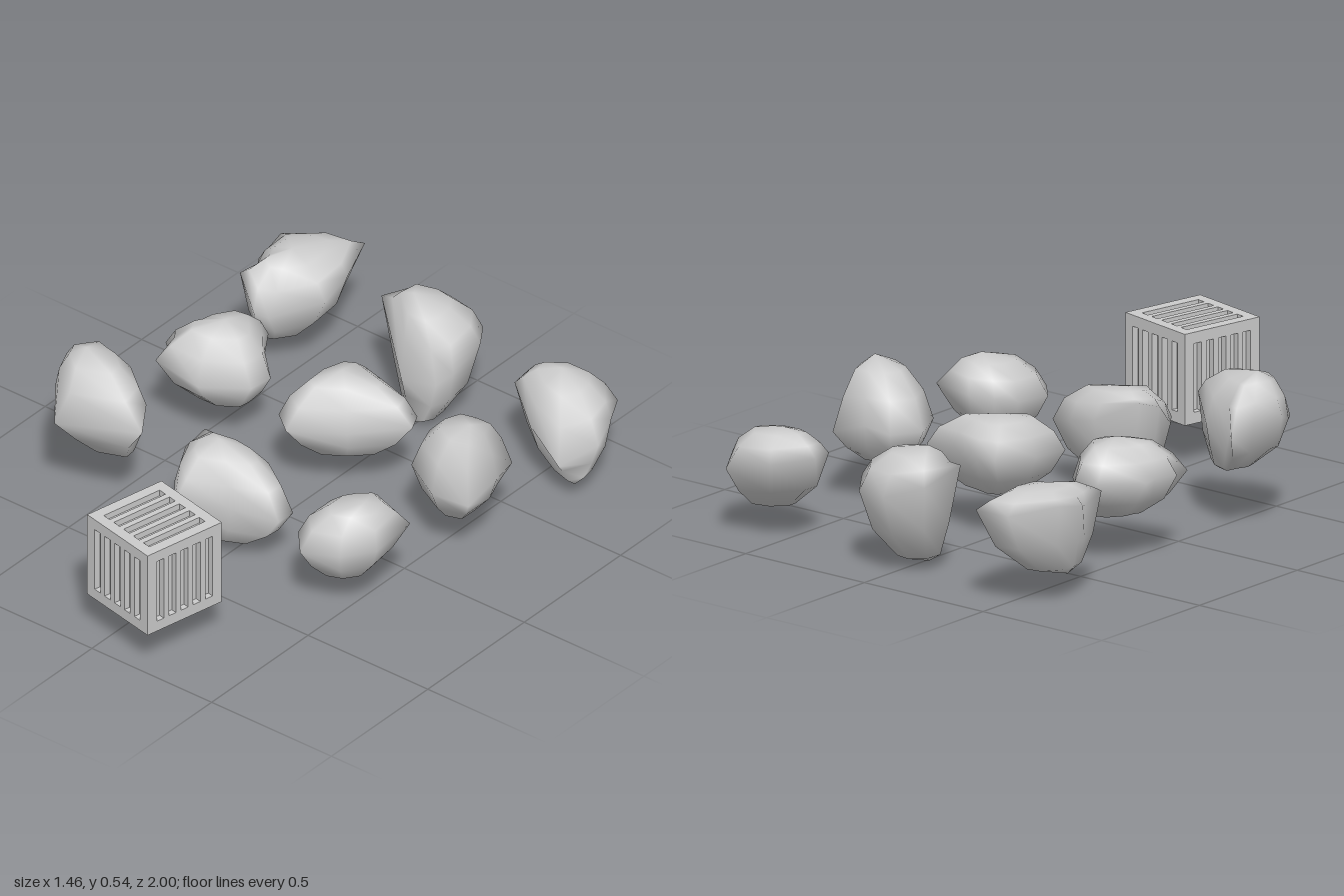
import * as THREE from 'three';
import { mergeVertices } from 'three/addons/utils/BufferGeometryUtils.js';

const grey = new THREE.MeshStandardMaterial({ color: 0xcccccc });

// Rock: a rim of [x, z, y] points (clockwise from above), rounded up to a top
// and down to a bottom apex [x, y, z]. Rings off the rim follow a softened outline.
function rock(rim, top, bottom) {
  const rings = [[0.48, -0.87], [0.86, -0.5], [1, 0], [0.9, 0.48], [0.57, 0.84]];
  const n = rim.length, pos = [], index = [];
  const soft = rim.map((p, i) => p.map((v, c) =>
    0.7 * v + 0.15 * (rim[(i + 1) % n][c] + rim[(i + n - 1) % n][c])));
  for (const [spread, rise] of rings) {
    const apex = rise < 0 ? bottom : top;
    for (const [x, z, y] of rise === 0 ? rim : soft) {
      pos.push(
        THREE.MathUtils.lerp(apex[0], x, spread),
        THREE.MathUtils.lerp(y, apex[1], Math.abs(rise)),
        THREE.MathUtils.lerp(apex[2], z, spread));
    }
  }
  const low = pos.length / 3, high = low + 1, last = low - n;
  pos.push(...bottom, ...top);
  for (let i = 0; i < n; i++) {
    const j = (i + 1) % n;
    index.push(low, i, j, last + i, high, last + j);
    for (let k = 0; k < last; k += n) index.push(k + i, k + n + i, k + n + j, k + i, k + n + j, k + j);
  }
  const g = new THREE.BufferGeometry();
  g.setAttribute('position', new THREE.Float32BufferAttribute(pos, 3));
  g.setIndex(index);
  const welded = mergeVertices(g, 1e-5);
  welded.computeVertexNormals();
  return new THREE.Mesh(welded, grey);
}

const ROCKS = {
  rockBackRight: [
    [[-0.58, -0.97, 0.33], [-0.47, -1.0, 0.34], [-0.43, -0.86, 0.3], [-0.41, -0.72, 0.28], [-0.55, -0.6, 0.22],
      [-0.58, -0.56, 0.25], [-0.67, -0.6, 0.35], [-0.65, -0.66, 0.31], [-0.69, -0.72, 0.33], [-0.7, -0.85, 0.36]],
    [-0.58, 0.4, -0.76], [-0.61, 0.08, -0.7]],
  rockBackMiddle: [
    [[-0.17, -0.9, 0.33], [-0.03, -0.94, 0.28], [0.08, -0.93, 0.28], [0.15, -0.83, 0.3], [0.14, -0.7, 0.24],
      [0.1, -0.66, 0.2], [-0.02, -0.63, 0.19], [-0.2, -0.75, 0.38]],
    [-0.08, 0.43, -0.77], [-0.01, 0, -0.68]],
  rockBackLeft: [
    [[0.37, -0.8, 0.3], [0.48, -0.9, 0.28], [0.65, -0.92, 0.24], [0.72, -0.8, 0.26], [0.73, -0.72, 0.2],
      [0.66, -0.6, 0.15], [0.5, -0.65, 0.22], [0.38, -0.72, 0.3]],
    [0.52, 0.38, -0.79], [0.68, 0.06, -0.66]],
  rockMiddleRight: [
    [[-0.52, -0.44, 0.3], [-0.43, -0.45, 0.29], [-0.38, -0.37, 0.28], [-0.3, -0.3, 0.25], [-0.31, -0.21, 0.25],
      [-0.45, -0.11, 0.25], [-0.62, -0.1, 0.29], [-0.6, -0.16, 0.29], [-0.65, -0.19, 0.3], [-0.6, -0.24, 0.29],
      [-0.61, -0.3, 0.29]],
    [-0.47, 0.42, -0.28], [-0.41, 0.13, -0.24]],
  rockMiddle: [
    [[-0.08, -0.43, 0.29], [-0.02, -0.45, 0.3], [0.1, -0.41, 0.3], [0.24, -0.39, 0.28], [0.26, -0.34, 0.27],
      [0.1, -0.2, 0.25], [-0.06, -0.08, 0.26], [-0.13, -0.13, 0.27], [-0.13, -0.28, 0.28]],
    [0.0, 0.41, -0.3], [0.05, 0.12, -0.26]],
  rockMiddleLeft: [
    [[0.41, -0.37, 0.27], [0.52, -0.37, 0.28], [0.62, -0.41, 0.25], [0.66, -0.28, 0.27], [0.67, -0.12, 0.25],
      [0.55, -0.08, 0.27], [0.4, -0.16, 0.28], [0.37, -0.25, 0.26]],
    [0.59, 0.48, -0.23], [0.54, 0.12, -0.22]],
  rockFrontRight: [
    [[-0.64, 0.1, 0.35], [-0.6, 0.14, 0.36], [-0.5, 0.14, 0.37], [-0.36, 0.27, 0.42], [-0.33, 0.33, 0.35],
      [-0.6, 0.45, 0.34], [-0.7, 0.32, 0.38], [-0.73, 0.25, 0.41], [-0.67, 0.18, 0.39]],
    [-0.61, 0.54, 0.27], [-0.46, 0.18, 0.26]],
  rockFrontMiddle: [
    [[-0.18, 0.19, 0.36], [-0.02, 0.15, 0.28], [0.08, 0.15, 0.26], [0.22, 0.23, 0.22], [0.2, 0.28, 0.2],
      [0.05, 0.34, 0.22], [-0.1, 0.45, 0.24], [-0.17, 0.36, 0.25], [-0.19, 0.28, 0.33]],
    [-0.08, 0.39, 0.24], [-0.04, 0.04, 0.29]],
  rockFrontLeft: [
    [[0.45, 0.08, 0.29], [0.62, 0.12, 0.29], [0.61, 0.28, 0.26], [0.53, 0.37, 0.25], [0.41, 0.43, 0.25],
      [0.33, 0.34, 0.25], [0.34, 0.2, 0.26], [0.4, 0.15, 0.27]],
    [0.52, 0.39, 0.23], [0.48, 0.11, 0.28]],
};

// Crate: six slotted panels around a solid core
function crate() {
  const size = 0.311, half = size / 2, depth = 0.022, slot = 0.117;
  const group = new THREE.Group();
  const rect = (path, x0, y0, x1, y1) =>
    path.moveTo(x0, y0).lineTo(x1, y0).lineTo(x1, y1).lineTo(x0, y1).closePath();
  const shape = rect(new THREE.Shape(), -half, -half, half, half);
  for (let i = -2; i <= 2; i++) {
    shape.holes.push(rect(new THREE.Path(), i * 0.051 - 0.015, -slot, i * 0.051 + 0.015, slot));
  }
  const panel = new THREE.ExtrudeGeometry(shape, { depth, bevelEnabled: false });
  panel.translate(0, 0, half - depth);
  const q = Math.PI / 2;
  // the underside panel is turned so its slots run from side to side
  const turns = [[0, 0, 0], [0, q, 0], [0, 2 * q, 0], [0, -q, 0], [-q, 0, 0], [q, 0, q]];
  turns.forEach(([rx, ry, rz], i) => {
    const side = new THREE.Mesh(panel, grey);
    side.rotation.set(rx, ry, rz);
    side.name = `cratePanel${i + 1}`;
    group.add(side);
  });
  const inner = size - 2 * depth;
  const core = new THREE.Mesh(new THREE.BoxGeometry(inner, inner, inner), grey);
  core.name = 'crateCore';
  group.add(core);
  group.position.set(0.11, 0.302, 0.812);
  group.rotation.y = -0.21;
  group.name = 'crate';
  return group;
}

export function createModel() {
  const model = new THREE.Group();
  model.name = 'rocksAndCrate';
  for (const [name, [rim, top, bottom]] of Object.entries(ROCKS)) {
    const mesh = rock(rim, top, bottom);
    mesh.name = name;
    model.add(mesh);
  }
  model.add(crate());
  return model;
}
